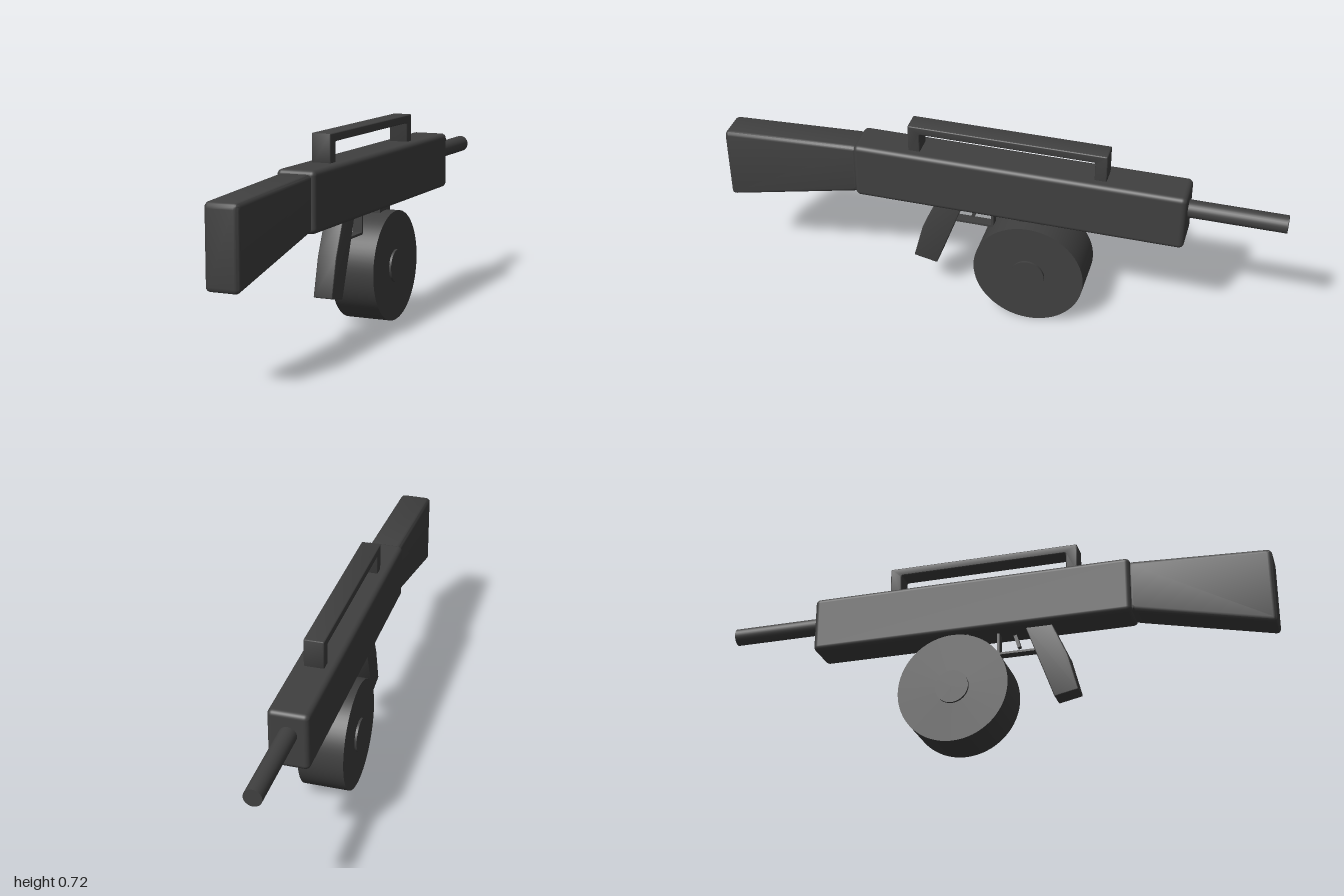
import * as THREE from 'three';
import { toCreasedNormals } from 'three/addons/utils/BufferGeometryUtils.js';
import { RoundedBoxGeometry } from 'three/addons/geometries/RoundedBoxGeometry.js';

export function createModel() {
  const group = new THREE.Group();
  const darkMetal = new THREE.MeshStandardMaterial({ color: 0x404040 });
  darkMetal.name = 'darkMetal';

  const add = (name, geometry, x = 0, y = 0, z = 0) => {
    const mesh = new THREE.Mesh(geometry, darkMetal);
    mesh.name = name;
    mesh.position.set(x, y, z);
    group.add(mesh);
    return mesh;
  };

  // Polygon in (z, y) with corners rounded by radius r
  const outline = (points, r) => {
    const pts = points.map(([z, y]) => new THREE.Vector2(z, y));
    const shape = new THREE.Shape();
    pts.forEach((p, i) => {
      const prev = pts[(i + pts.length - 1) % pts.length];
      const next = pts[(i + 1) % pts.length];
      const a = prev.clone().sub(p).setLength(r).add(p);
      const b = next.clone().sub(p).setLength(r).add(p);
      if (i === 0) shape.moveTo(a.x, a.y);
      else shape.lineTo(a.x, a.y);
      shape.quadraticCurveTo(p.x, p.y, b.x, b.y);
    });
    shape.closePath();
    return shape;
  };

  // Side profile extruded across the width, centred on x = 0
  const slab = (points, width, bevel, r = bevel * 1.3) => {
    const g = new THREE.ExtrudeGeometry(outline(points, r), {
      depth: width - 2 * bevel, curveSegments: 4,
      bevelEnabled: true, bevelThickness: bevel, bevelSize: bevel,
      bevelOffset: -bevel, bevelSegments: 3,
    });
    g.translate(0, 0, bevel - width / 2);
    g.rotateY(-Math.PI / 2);
    return toCreasedNormals(g, 0.6);
  };

  // Main body and stock
  add('receiver', new RoundedBoxGeometry(0.14, 0.208, 1.175, 4, 0.018), 0, 0.519, -0.0775);
  add('stock', slab([[0.5, 0.423], [1, 0.312], [1, 0.588], [0.5, 0.612]], 0.116, 0.015), 0, 0, 0);

  // Barrel
  const barrel = new THREE.CylinderGeometry(0.031, 0.031, 0.36, 32);
  barrel.rotateX(Math.PI / 2);
  add('barrel', barrel, 0, 0.543, -0.82);

  // Carry handle: bridge with two posts
  add('carryHandle', slab([
    [-0.385, 0.61], [-0.343, 0.61], [-0.343, 0.692], [0.275, 0.692],
    [0.275, 0.61], [0.317, 0.61], [0.317, 0.722], [-0.385, 0.722],
  ], 0.07, 0.004));

  // Pistol grip
  add('grip', slab([
    [0.12, 0.43], [0.225, 0.142], [0.31, 0.16], [0.275, 0.295], [0.215, 0.43],
  ], 0.07, 0.003));

  // Trigger guard strap and trigger
  add('triggerGuardBottom', new THREE.BoxGeometry(0.035, 0.008, 0.142), 0, 0.337, 0.087);
  add('triggerGuardFront', new THREE.BoxGeometry(0.035, 0.09, 0.008), 0, 0.378, 0.02);
  const trigger = add('trigger', new THREE.BoxGeometry(0.018, 0.05, 0.012), 0, 0.381, 0.087);
  trigger.rotation.x = -0.3;

  // Drum magazine with hub and neck
  const disc = (name, radius, width) => {
    const g = new THREE.CylinderGeometry(radius, radius, width, 64);
    g.rotateZ(Math.PI / 2);
    add(name, g, 0, 0.2, -0.128);
  };
  disc('drum', 0.2, 0.164);
  disc('drumHub', 0.06, 0.18);
  add('drumNeck', new THREE.BoxGeometry(0.08, 0.07, 0.09), 0, 0.39, -0.128);

  return group;
}
